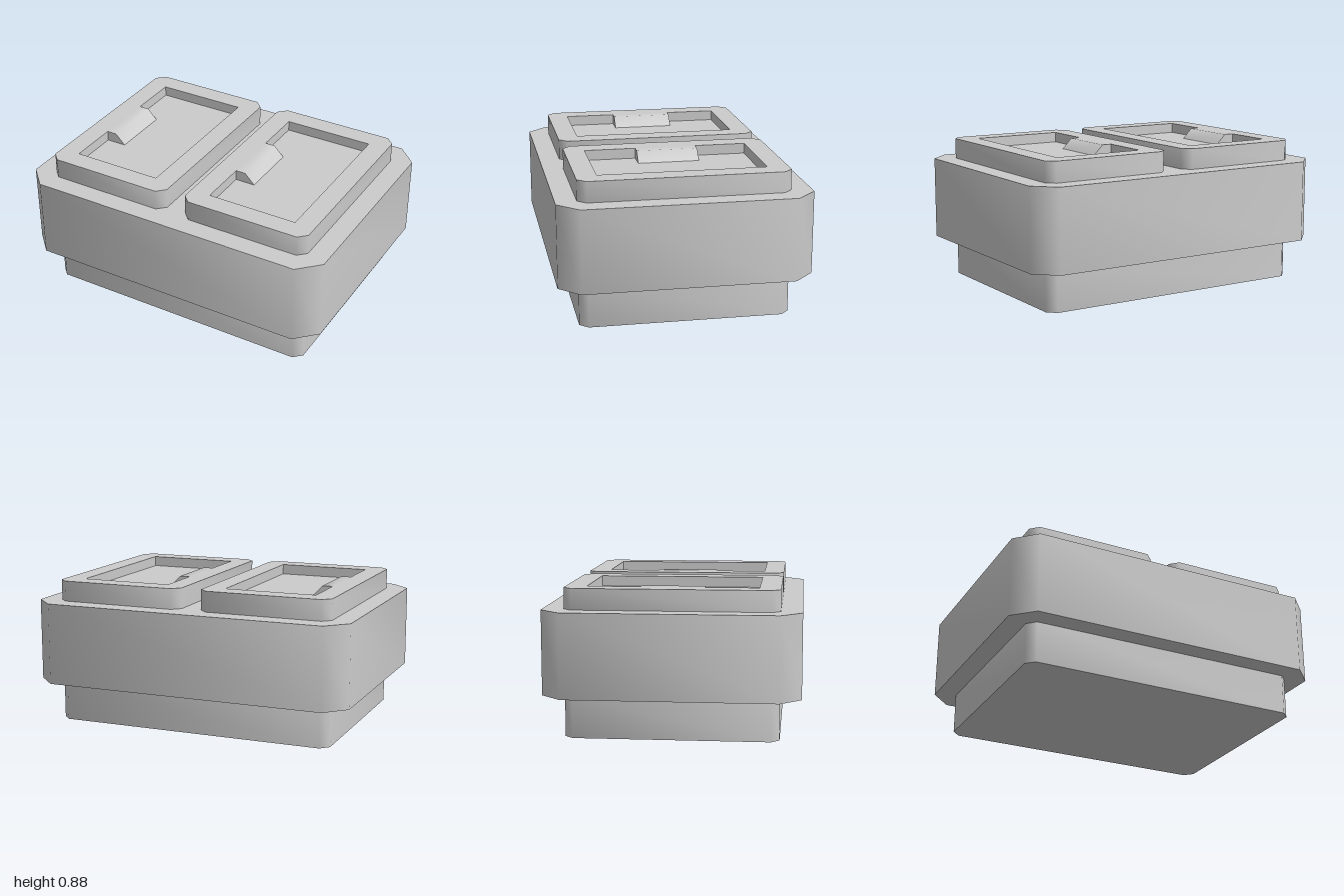
import * as THREE from 'three';
import { toCreasedNormals } from 'three/addons/utils/BufferGeometryUtils.js';

const material = new THREE.MeshStandardMaterial({ color: 0xcccccc });

// Rectangle with cut corners, centred on the origin
function cutCornerShape(w, d, c) {
  const x = w / 2, y = d / 2;
  return new THREE.Shape([
    [x - c, -y], [x, -y + c], [x, y - c], [x - c, y],
    [-x + c, y], [-x, y - c], [-x, -y + c], [-x + c, -y],
  ].map(([px, py]) => new THREE.Vector2(px, py)));
}

// Softly shaded extrusion: 45 degree corners blend, right angles stay sharp
function extrude(shape, depth) {
  return toCreasedNormals(new THREE.ExtrudeGeometry(shape, { depth, bevelEnabled: false }), 1);
}

function slab(name, shape, bottom, top) {
  const geometry = extrude(shape, top - bottom);
  geometry.rotateX(-Math.PI / 2);
  geometry.translate(0, bottom, 0);
  const mesh = new THREE.Mesh(geometry, material);
  mesh.name = name;
  return mesh;
}

// Raised button with a rectangular recess and a rounded tab on its -x wall
function createButton(name, x) {
  const button = new THREE.Group();
  button.name = name;
  button.position.x = x;

  const w = 0.5625, d = 1, bottom = 0.75, floor = 0.8125, top = 0.875;

  const rimShape = cutCornerShape(0.8125, 1.25, 0.05);
  rimShape.holes.push(new THREE.Path([
    new THREE.Vector2(-w / 2, -d / 2), new THREE.Vector2(-w / 2, d / 2),
    new THREE.Vector2(w / 2, d / 2), new THREE.Vector2(w / 2, -d / 2),
  ]));
  button.add(slab('buttonRim', rimShape, bottom, top));

  const recess = new THREE.Mesh(new THREE.BoxGeometry(w, floor - bottom, d), material);
  recess.name = 'recessFloor';
  recess.position.y = (floor + bottom) / 2;
  button.add(recess);

  // Tab profile: level with the rim, then sloping down to the recess floor
  const tabShape = new THREE.Shape([
    new THREE.Vector2(-w / 2, floor),
    new THREE.Vector2(-w / 2 + 0.125, floor),
    new THREE.Vector2(-w / 2 + 0.0625, top),
    new THREE.Vector2(-w / 2, top),
  ]);
  const tab = new THREE.Mesh(extrude(tabShape, 0.375), material);
  tab.name = 'recessTab';
  tab.position.z = -0.1875;
  button.add(tab);

  return button;
}

export function createModel() {
  const model = new THREE.Group();
  model.name = 'twoButtonSwitch';

  model.add(slab('base', cutCornerShape(1.75, 1.25, 0.05), 0, 0.25));
  model.add(slab('body', cutCornerShape(2, 1.5, 0.125), 0.25, 0.75));
  model.add(createButton('rightButton', -0.46875));
  model.add(createButton('leftButton', 0.46875));

  return model;
}
